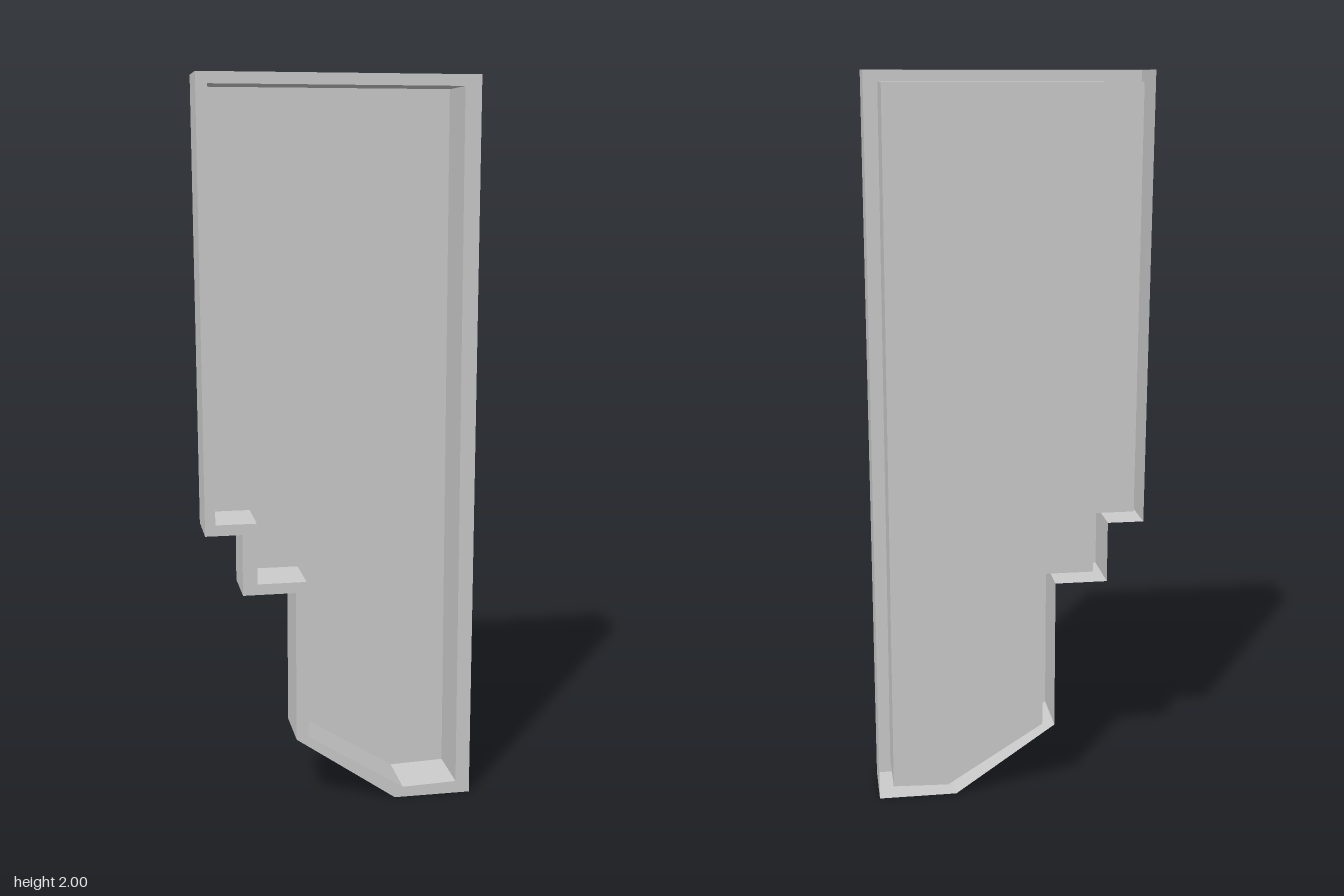
import * as THREE from 'three';

const FRONT = 0.08, BACK = -0.08;

// Outlines in the xy plane, clockwise from the top left corner
const outer = [
  [-0.375, 2], [0.375, 2], [0.375, 0], [0.157, 0], [-0.125, 0.195],
  [-0.125, 0.62], [-0.27, 0.62], [-0.27, 0.79], [-0.37, 0.79],
];
const inner = [
  [-0.345, 1.97], [0.33, 1.97], [0.335, 0.035], [0.18, 0.03], [-0.09, 0.2],
  [-0.095, 0.65], [-0.23, 0.65], [-0.23, 0.82], [-0.342, 0.82],
];

const material = new THREE.MeshStandardMaterial({ color: 0xcccccc, side: THREE.DoubleSide });

const toPoints = (list) => list.map(([x, y]) => new THREE.Vector2(x, y));

// Closed band of flat quads running from front to back along an outline
function wallGeometry(outline) {
  const positions = [];
  outline.forEach(([px, py], i) => {
    const [qx, qy] = outline[(i + 1) % outline.length];
    positions.push(
      px, py, FRONT, qx, qy, FRONT, qx, qy, BACK,
      px, py, FRONT, qx, qy, BACK, px, py, BACK,
    );
  });
  const geometry = new THREE.BufferGeometry();
  geometry.setAttribute('position', new THREE.Float32BufferAttribute(positions, 3));
  geometry.computeVertexNormals();
  return geometry;
}

export function createModel() {
  const group = new THREE.Group();
  group.name = 'steppedPanel';

  const add = (name, geometry) => {
    const mesh = new THREE.Mesh(geometry, material);
    mesh.name = name;
    group.add(mesh);
  };

  // Outer side faces, and the recess sides facing into the tray
  add('outerWall', wallGeometry(outer));
  add('recessWall', wallGeometry([...inner].reverse()));

  // Narrow front border; the gap between the walls stays open at the back
  const rim = new THREE.Shape(toPoints(outer));
  rim.holes.push(new THREE.Path(toPoints(inner)));
  add('frontRim', new THREE.ShapeGeometry(rim).translate(0, 0, FRONT));

  // Thin panel closing the recess at the back
  add('recessFloor', new THREE.ShapeGeometry(new THREE.Shape(toPoints(inner))).translate(0, 0, BACK));

  return group;
}
